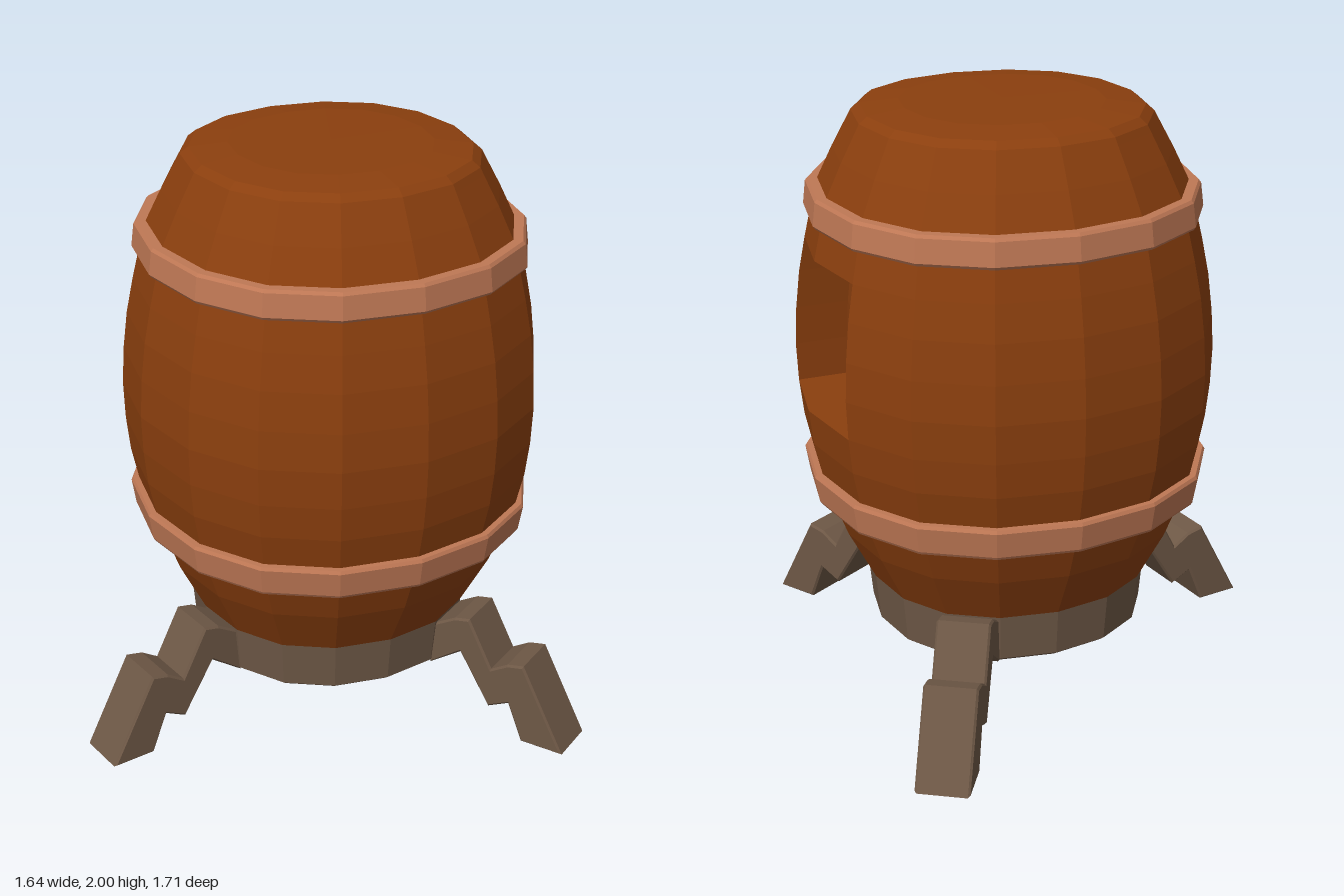
import * as THREE from 'three';

const SIDES = 16;
const wood = new THREE.MeshStandardMaterial({ color: 0x8b3f0e, flatShading: true });
const copper = new THREE.MeshStandardMaterial({ color: 0xbf7855, flatShading: true });
const grey = new THREE.MeshStandardMaterial({ color: 0x6e5846, flatShading: true });

// Point on a ring that is slightly fuller on its diagonals
function ringPoint(r, y, j) {
  const a = (j / SIDES) * Math.PI * 2;
  const k = r * (1 + 0.03 * Math.sin(2 * a) ** 2);
  const t = a + 0.018 * Math.sin(4 * a);
  return [k * Math.cos(t), y, k * Math.sin(t)];
}

function quad(out, a, b, c, d) {
  out.push(...a, ...b, ...c, ...a, ...c, ...d);
}

function meshFrom(out, material, name) {
  const geo = new THREE.BufferGeometry();
  geo.setAttribute('position', new THREE.Float32BufferAttribute(out, 3));
  geo.computeVertexNormals();
  const mesh = new THREE.Mesh(geo, material);
  mesh.name = name;
  return mesh;
}

// Skin a [radius, height] profile, listed from bottom to top; skip(i, j) leaves cells open
function loft(rows, skip = () => false) {
  const out = [];
  const p = (i, j) => ringPoint(rows[i][0], rows[i][1], j);
  for (let i = 0; i < rows.length - 1; i++) {
    for (let j = -1; j < SIDES - 1; j++) {
      if (!skip(i, j)) quad(out, p(i, j), p(i + 1, j), p(i + 1, j + 1), p(i, j + 1));
    }
  }
  return out;
}

// Barrel body with a window pocket two staves wide on the +x side
function barrelBody() {
  const rows = [
    [0.475, 0.375], [0.565, 0.55], [0.615, 0.68], [0.647, 0.785], [0.672, 0.9],
    [0.685, 1.02], [0.69, 1.15], [0.683, 1.28], [0.668, 1.41], [0.645, 1.53],
    [0.62, 1.64], [0.597, 1.73], [0.545, 1.84], [0.495, 1.935], [0.482, 1.96],
    [0.455, 1.982], [0.33, 1.997], [0, 2.0],
  ];
  const lo = 5, hi = 9, depth = 0.18;
  const out = loft(rows, (i, j) => i >= lo && i < hi && j < 1);
  const outer = (i, j) => ringPoint(rows[i][0], rows[i][1], j);
  const inner = (i, j) => {
    const [x, y, z] = outer(i, j);
    return [x - depth, y, z];
  };
  for (let j = -1; j < 1; j++) {
    // sill and lintel
    quad(out, outer(lo, j), inner(lo, j), inner(lo, j + 1), outer(lo, j + 1));
    quad(out, outer(hi, j + 1), inner(hi, j + 1), inner(hi, j), outer(hi, j));
    // back of the pocket
    for (let i = lo; i < hi; i++) {
      quad(out, inner(i, j), inner(i + 1, j), inner(i + 1, j + 1), inner(i, j + 1));
    }
  }
  // side jambs
  for (let i = lo; i < hi; i++) {
    quad(out, outer(i, -1), outer(i + 1, -1), inner(i + 1, -1), inner(i, -1));
    quad(out, inner(i, 1), inner(i + 1, 1), outer(i + 1, 1), outer(i, 1));
  }
  return meshFrom(out, wood, 'barrelBody');
}

// Bent leg: side profile in (distance from axis, height), extruded to its width
function leg(angle, x, z, name) {
  const b = 0.007, width = 0.18;
  const profile = [
    [0.955, 0], [0.795, 0.3], [0.735, 0.287], [0.675, 0.25], [0.585, 0.418],
    [0.53, 0.407], [0.44, 0.355], [0.44, 0.2], [0.555, 0.28], [0.67, 0.098],
    [0.745, 0.135], [0.8, 0],
  ];
  const shape = new THREE.Shape(profile.map(([r, y]) => new THREE.Vector2(r, y)));
  const geo = new THREE.ExtrudeGeometry(shape, {
    depth: width - 2 * b, bevelEnabled: true, bevelSegments: 1,
    bevelSize: b, bevelThickness: b, bevelOffset: -b,
  });
  geo.translate(0, 0, b - width / 2);
  const mesh = new THREE.Mesh(geo, grey);
  mesh.name = name;
  mesh.position.set(x, 0, z);
  mesh.rotation.y = -THREE.MathUtils.degToRad(angle);
  return mesh;
}

export function createModel() {
  const group = new THREE.Group();
  group.name = 'barrelOnLegs';

  const barrel = new THREE.Group();
  barrel.name = 'barrel';
  barrel.position.x = 0.135;
  barrel.add(barrelBody());

  // Metal hoops
  barrel.add(meshFrom(loft([
    [0.57, 1.635], [0.638, 1.635], [0.645, 1.645], [0.636, 1.722], [0.628, 1.732], [0.57, 1.732],
  ]), copper, 'upperHoop'));
  barrel.add(meshFrom(loft([
    [0.59, 0.68], [0.654, 0.68], [0.66, 0.69], [0.674, 0.777], [0.668, 0.788], [0.59, 0.788],
  ]), copper, 'lowerHoop'));

  // Base cup under the barrel
  barrel.add(meshFrom(loft([
    [0, 0.19], [0.34, 0.192], [0.44, 0.2], [0.46, 0.215], [0.475, 0.375],
  ]), grey, 'base'));
  group.add(barrel);

  // Three legs
  group.add(leg(58, 0.165, 0, 'frontLeg'));
  group.add(leg(-58, 0.165, 0, 'backLeg'));
  group.add(leg(171, 0.135, 0.02, 'rightLeg'));
  return group;
}
